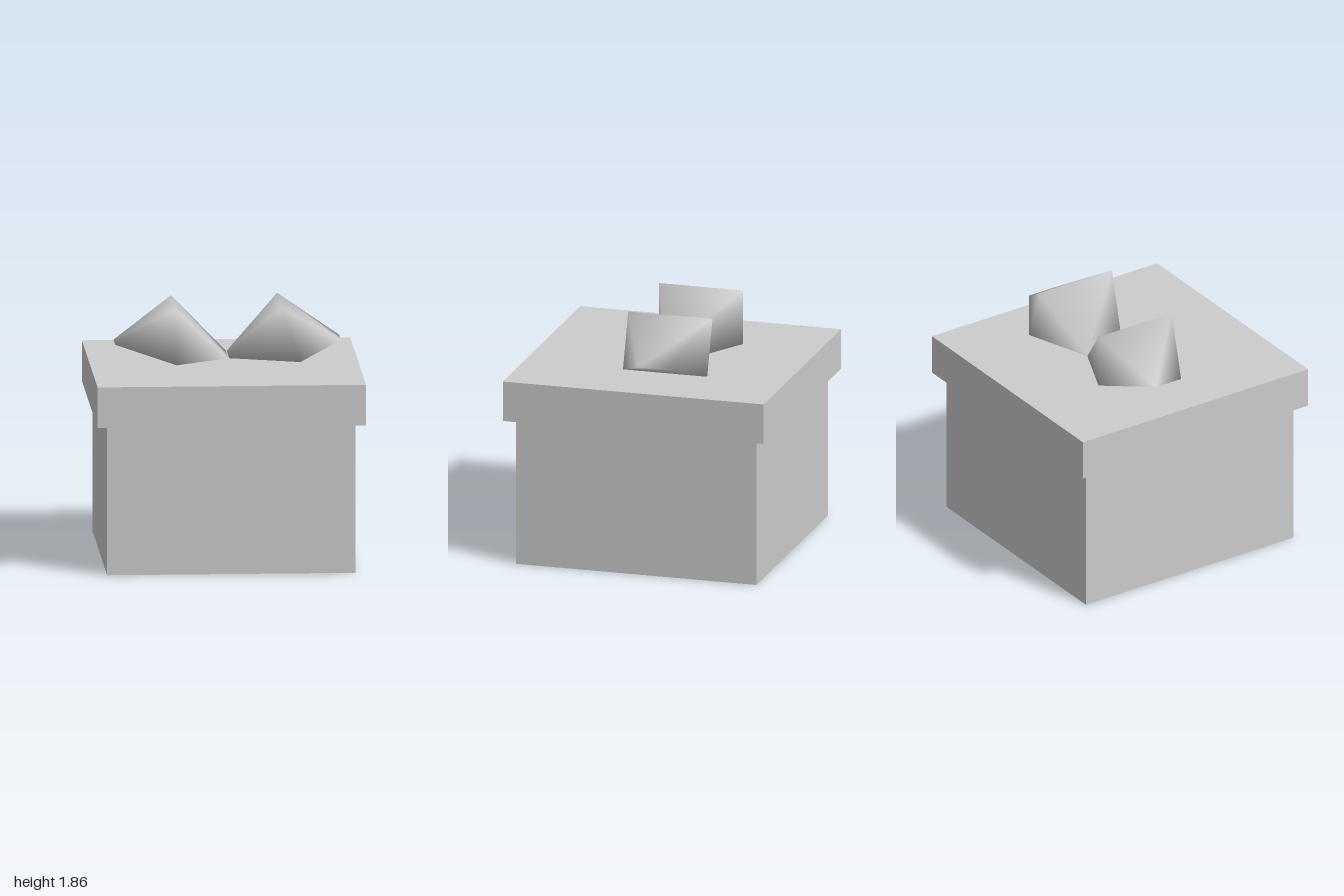
import * as THREE from 'three';

const grey = new THREE.MeshStandardMaterial({ color: 0xcccccc });
grey.name = 'light grey';

// Box standing between two heights
function block(name, w, d, y0, y1, x = 0) {
  const mesh = new THREE.Mesh(new THREE.BoxGeometry(w, y1 - y0, d), grey);
  mesh.position.set(x, (y0 + y1) / 2, 0);
  mesh.name = name;
  return mesh;
}

// Smooth bow loop from an anticlockwise outline of [x, y, half width];
// the side faces fold along the line between corners 1 and 3
function bowLoop(name, outline) {
  const positions = [];
  for (const side of [1, -1])
    for (const [x, y, half] of outline) positions.push(x, y, side * half);
  const index = [0, 1, 3, 1, 2, 3, 4, 7, 5, 5, 7, 6];
  for (let i = 0; i < 4; i++) {
    const j = (i + 1) % 4;
    index.push(i, i + 4, j + 4, i, j + 4, j);
  }
  const geometry = new THREE.BufferGeometry();
  geometry.setAttribute('position', new THREE.Float32BufferAttribute(positions, 3));
  geometry.setIndex(index);
  geometry.computeVertexNormals();
  const mesh = new THREE.Mesh(geometry, grey);
  mesh.name = name;
  return mesh;
}

export function createModel() {
  const model = new THREE.Group();
  model.name = 'giftBox';

  // Box and overhanging lid
  model.add(block('box', 1.825, 1.845, 0, 1.112));
  model.add(block('lid', 1.975, 2, 1.112, 1.415));

  // Bow: two loops meeting at a narrow middle, set slightly to the back
  const bow = new THREE.Group();
  bow.name = 'bow';
  bow.position.z = -0.1125;
  bow.add(bowLoop('leftLoop', [
    [0.035, 1.455, 0.157], [0.55, 1.45, 0.323], [0.86, 1.575, 0.112], [0.415, 1.855, 0.323],
  ]));
  bow.add(bowLoop('rightLoop', [
    [0.03, 1.455, 0.157], [-0.365, 1.845, 0.323], [-0.8, 1.555, 0.112], [-0.36, 1.435, 0.323],
  ]));
  model.add(bow);

  return model;
}
